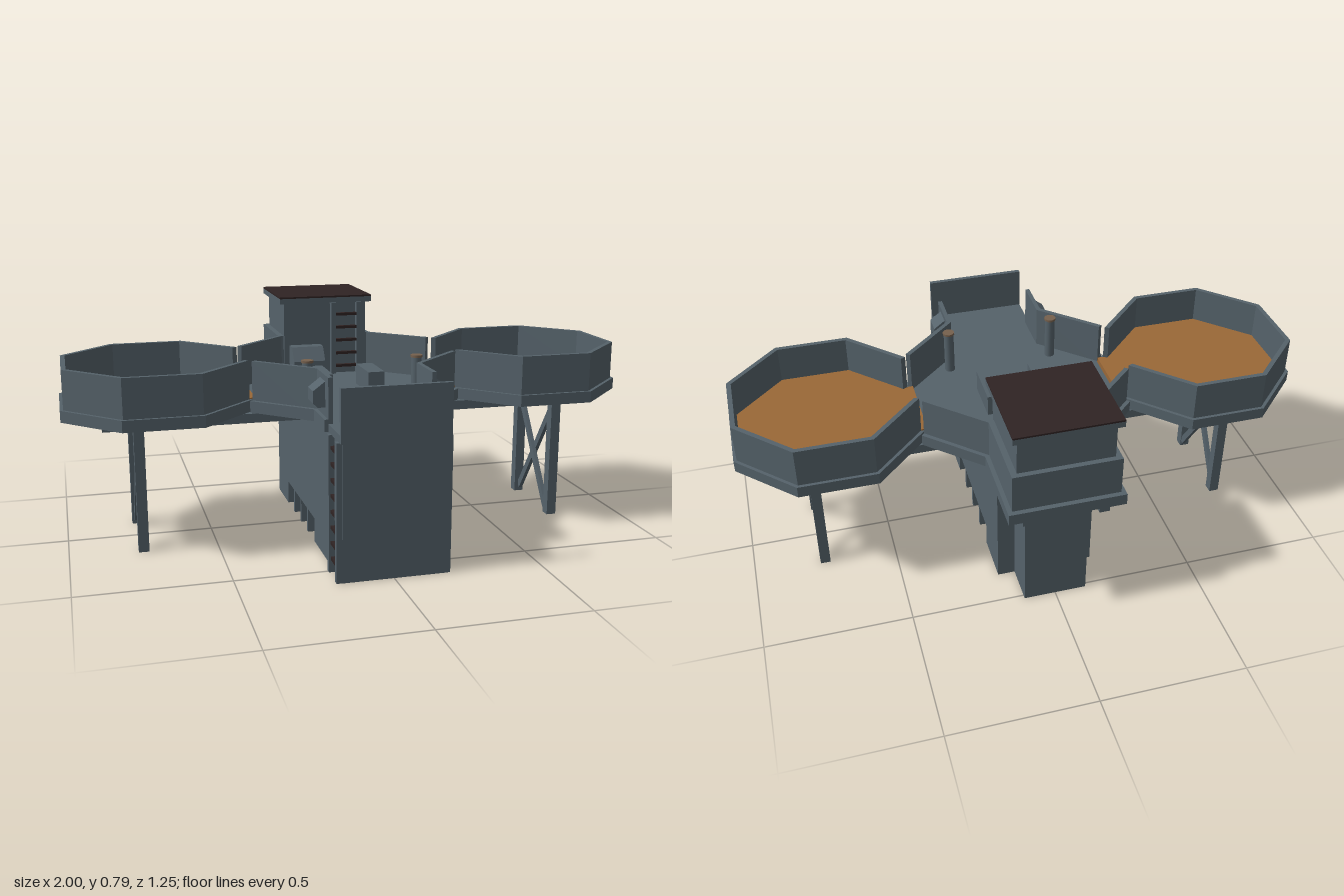
import * as THREE from 'three';

const std = (name, color) => {
  const m = new THREE.MeshStandardMaterial({ color });
  m.name = name;
  return m;
};

export function createModel() {
  const steel = std('blue grey steel', 0x55626a);
  const wood = std('brown planking', 0x9a6837);
  const dark = std('dark brown', 0x2f2323);
  const rope = std('weathered tan', 0x76614e);
  const root = new THREE.Group();
  root.name = 'seaPlatform';

  const add = (name, geo, mat = steel, parent = root) => {
    const m = new THREE.Mesh(geo, mat);
    m.name = name;
    parent.add(m);
    return m;
  };
  // box given by its limits on each axis
  const box = (name, x0, x1, y0, y1, z0, z1, mat = steel, parent = root) => {
    const m = add(name, new THREE.BoxGeometry(x1 - x0, y1 - y0, z1 - z0), mat, parent);
    m.position.set((x0 + x1) / 2, (y0 + y1) / 2, (z0 + z1) / 2);
    return m;
  };
  // plan outline of [x, z] points raised from y0 to y1
  const slab = (name, pts, y0, y1, mat = steel) => {
    const shape = new THREE.Shape(pts.map(([x, z]) => new THREE.Vector2(x, -z)));
    const g = new THREE.ExtrudeGeometry(shape, { depth: y1 - y0, bevelEnabled: false });
    g.rotateX(-Math.PI / 2);
    g.translate(0, y0, 0);
    return add(name, g, mat);
  };
  const band = (name, outer, inner, y0, y1) => slab(name, [...outer, ...[...inner].reverse()], y0, y1);
  // side profile of [x, y] points carried along z
  const prism = (name, pts, z0, z1) => {
    const shape = new THREE.Shape(pts.map(([x, y]) => new THREE.Vector2(x, y)));
    const g = new THREE.ExtrudeGeometry(shape, { depth: z1 - z0, bevelEnabled: false });
    g.translate(0, 0, z0);
    return add(name, g);
  };

  // central pier with recesses along both lower edges
  box('pierBody', -0.17, 0.17, 0.085, 0.46, -0.38, 0.61);
  box('pierFrontFoot', -0.17, 0.17, 0, 0.085, 0.225, 0.61);
  box('pierRearFoot', -0.17, 0.17, 0, 0.085, -0.38, -0.21);
  prism('recessCore', [[-0.17, 0.085], [-0.09, 0.05], [-0.09, 0], [0.09, 0], [0.09, 0.05], [0.17, 0.085]], -0.21, 0.225);
  for (const z of [0.118, 0.008, -0.102]) box('recessWeb', -0.17, 0.17, 0, 0.085, z - 0.008, z + 0.008);
  box('pierRearBlock', -0.11, 0.11, 0, 0.46, -0.515, -0.38);

  // central deck
  const half = [[0.18, 0.62], [0.18, 0.32], [0.36, 0.15], [0.36, -0.15], [0.18, -0.32], [0.18, -0.61]];
  slab('deck', [...half, ...half.map(([x, z]) => [-x, z]).reverse()], 0.46, 0.485);
  box('frontParapet', -0.18, 0.18, 0.46, 0.635, 0.612, 0.628);

  // rear cabin
  box('cabinLower', -0.18, 0.18, 0.46, 0.635, -0.61, -0.31);
  box('cabinFlange', -0.195, 0.195, 0.46, 0.5, -0.627, -0.31);
  box('cabinUpper', -0.16, 0.16, 0.48, 0.76, -0.592, -0.297);
  box('roofSlab', -0.178, 0.178, 0.76, 0.78, -0.61, -0.28);
  box('roofCover', -0.178, 0.178, 0.78, 0.786, -0.61, -0.28, dark);
  for (const x of [0.028, 0.128]) box('cabinLadderRail', x - 0.009, x + 0.009, 0.485, 0.76, -0.297, -0.272);
  for (let i = 0; i < 5; i++) box('cabinLadderRung', 0.037, 0.119, 0.51 + i * 0.05, 0.52 + i * 0.05, -0.292, -0.276, dark);

  // sloped locker in front of the cabin
  const locker = new THREE.Shape([[0.297, 0.485], [0.215, 0.485], [0.215, 0.55], [0.25, 0.6], [0.297, 0.6]]
    .map(p => new THREE.Vector2(...p)));
  const lockerGeo = new THREE.ExtrudeGeometry(locker, { depth: 0.12, bevelEnabled: false });
  lockerGeo.rotateY(Math.PI / 2);
  lockerGeo.translate(-0.14, 0, 0);
  add('locker', lockerGeo);

  for (const s of [-1, 1]) {
    const mx = pts => pts.map(([x, z]) => [s * x, z]);
    const sbox = (name, x0, x1, ...r) => box(name, Math.min(s * x0, s * x1), Math.max(s * x0, s * x1), ...r);

    // deck walls with a projecting sill
    const front = mx([[0.18, 0.47], [0.18, 0.32], [0.365, 0.147]]);
    const frontIn = mx([[0.165, 0.47], [0.165, 0.313], [0.352, 0.137]]);
    const frontOut = mx([[0.193, 0.47], [0.193, 0.327], [0.375, 0.157]]);
    band('frontDeckWall', front, frontIn, 0.46, 0.635);
    band('frontDeckSill', frontOut, front, 0.46, 0.5);
    const flip = p => p.slice(1).map(([x, z]) => [x, -z]);
    band('rearDeckWall', flip(front), flip(frontIn), 0.46, 0.635);
    band('rearDeckSill', flip(frontOut), flip(front), 0.46, 0.5);

    // eight-sided platform, open toward the deck
    const cx = 0.68;
    const oct = a => mx(Array.from({ length: 8 }, (_, k) => {
      const t = Math.PI + Math.PI / 8 + k * Math.PI / 4, r = a / Math.cos(Math.PI / 8);
      return [cx + r * Math.cos(t), r * Math.sin(t)];
    }));
    slab('platformBase', oct(0.32), 0.46, 0.5);
    slab('platformFloor', oct(0.308), 0.5, 0.505, wood);
    band('platformWall', oct(0.309), oct(0.293), 0.5, 0.635);
    sbox('platformThreshold', 0.35, 0.376, 0.46, 0.505, -0.13, 0.13, wood);

    // beams, legs and crossed braces
    for (const z of [-0.14, 0.157]) {
      sbox('platformBeam', 0.1, 0.87, 0.428, 0.46, z - 0.018, z + 0.018);
      sbox('platformLeg', 0.735, 0.77, 0, 0.43, z - 0.018, z + 0.018);
    }
    for (const d of [-1, 1]) {
      const brace = sbox('platformBrace', 0.742 + d * 0.004, 0.756 + d * 0.004, -0.233, 0.233, -0.012, 0.012);
      brace.position.set(s * (0.75 + d * 0.006), 0.215, 0.009);
      brace.rotation.x = d * Math.atan2(0.262, 0.385);
    }
    sbox('cabinBeam', 0.11, 0.145, 0.428, 0.46, -0.61, -0.3);

    // pier ladder
    for (const z of [0.5, 0.598]) sbox('pierLadderRail', 0.165, 0.19, 0, 0.46, z - 0.011, z + 0.011);
    for (let i = 0; i < 8; i++) sbox('pierLadderRung', 0.168, 0.184, 0.043 + i * 0.053, 0.054 + i * 0.053, 0.51, 0.588, dark);

    // sloped side boxes on the front walls
    prism('sideBox', mx([[0.18, 0.53], [0.205, 0.53], [0.22, 0.545], [0.22, 0.585], [0.18, 0.615]]), 0.36, 0.43);

    // deck chest
    sbox('deckChest', 0.065, 0.125, 0.485, 0.56, -0.083, 0.08);

    // mooring post
    const post = add('mooringPost', new THREE.CylinderGeometry(0.018, 0.018, 0.155, 10));
    post.position.set(s * 0.192, 0.562, 0.23);
    const cap = add('mooringPostCap', new THREE.CylinderGeometry(0.021, 0.021, 0.008, 10), rope);
    cap.position.set(s * 0.192, 0.642, 0.23);
  }

  // life ring on the pier side
  const ringGeo = new THREE.TorusGeometry(0.049, 0.013, 6, 10).toNonIndexed();
  ringGeo.computeVertexNormals();
  const ring = add('lifeRing', ringGeo, rope);
  ring.rotation.y = Math.PI / 2;
  ring.position.set(0.178, 0.162, 0.372);

  return root;
}
